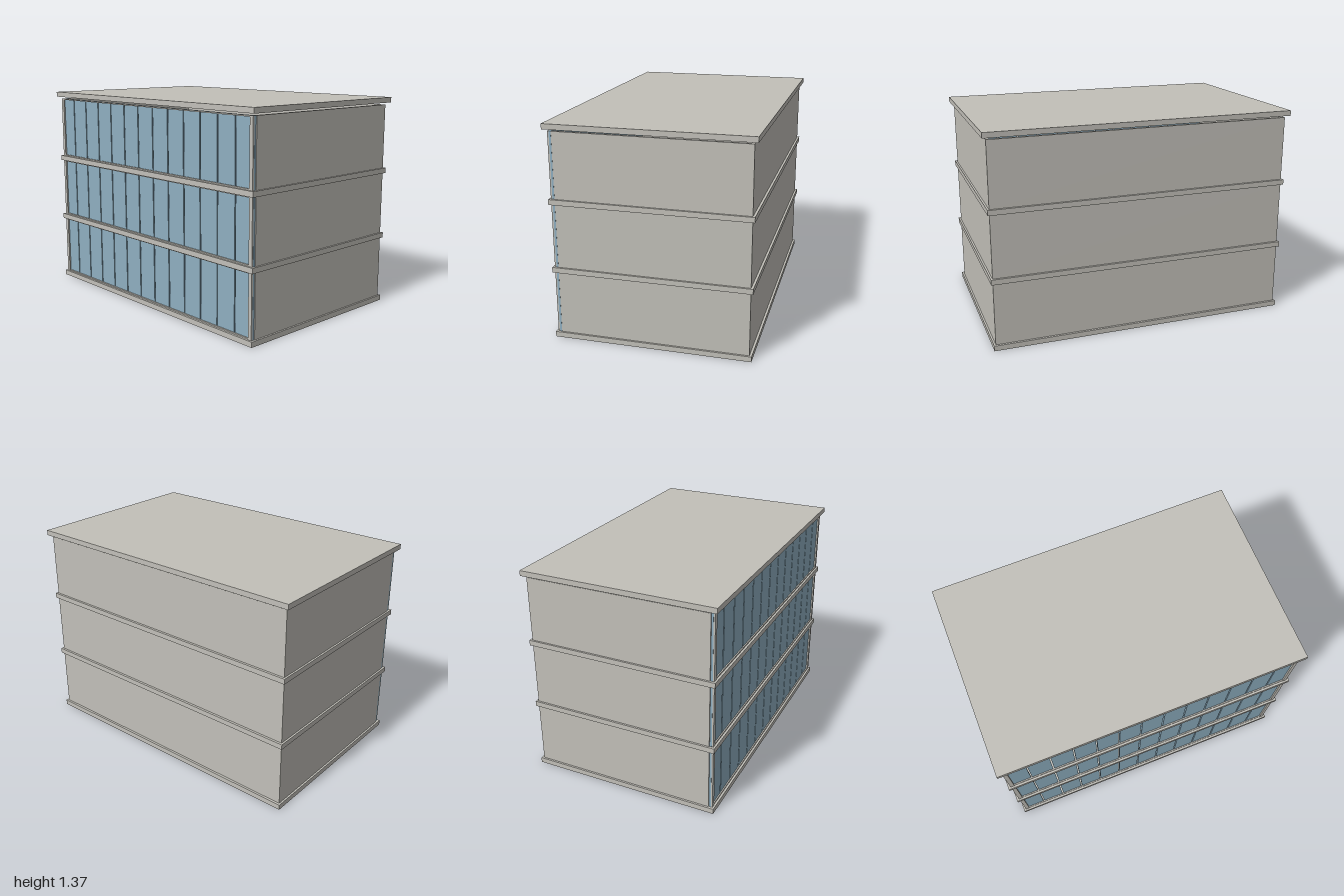
import * as THREE from 'three';

export function createModel() {
  const model = new THREE.Group();
  model.name = 'building';
  const concrete = new THREE.MeshStandardMaterial({ color: 0xc2c0b9 });
  concrete.name = 'pale concrete';
  const glass = new THREE.MeshStandardMaterial({ color: 0x8fafc1 });
  glass.name = 'blue glass';

  // Box given by its minimum and maximum corners
  function block(parent, name, material, [x0, y0, z0], [x1, y1, z1]) {
    const mesh = new THREE.Mesh(new THREE.BoxGeometry(x1 - x0, y1 - y0, z1 - z0), material);
    mesh.position.set((x0 + x1) / 2, (y0 + y1) / 2, (z0 + z1) / 2);
    mesh.name = name;
    parent.add(mesh);
    return mesh;
  }

  const storeys = 3, rise = 0.438, slab = 0.034;
  const halfW = 0.975, halfD = 0.61, wall = 0.02;
  const panels = 13, pitch = 2 * halfW / panels, gap = 0.008;

  for (let i = 0; i < storeys; i++) {
    const storey = new THREE.Group();
    storey.name = 'storey' + (i + 1);
    model.add(storey);
    const base = i * rise;
    const y0 = base + slab;
    const y1 = i === storeys - 1 ? 1.326 : base + rise;

    // Floor slab projecting past the walls
    block(storey, 'floorSlab', concrete, [-0.987, base, -0.625], [0.987, y0, 0.625]);

    // Back and side walls
    block(storey, 'backWall', concrete, [-halfW, y0, -halfD], [halfW, y1, -halfD + wall]);
    for (const s of [-1, 1]) {
      const xs = [s * halfW, s * (halfW - wall)].sort((a, b) => a - b);
      block(storey, 'sideWall', concrete, [xs[0], y0, -halfD + wall], [xs[1], y1, 0.588]);
    }

    // Row of glass panes with narrow joints
    for (let p = 0; p < panels; p++) {
      const x = -halfW + p * pitch;
      const left = p === 0 ? x + 0.003 : x + gap / 2;
      const right = p === panels - 1 ? x + pitch - 0.003 : x + pitch - gap / 2;
      block(storey, 'glassPane', glass, [left, y0, 0.59], [right, y1, 0.603]);
    }

    // Slim frame in front of the glass
    for (const s of [-1, 1]) {
      const xs = [s * 0.945, s * 0.971].sort((a, b) => a - b);
      block(storey, 'cornerPost', concrete, [xs[0], y0, 0.603], [xs[1], y1, 0.613]);
    }
    block(storey, 'bottomRail', concrete, [-0.945, y0, 0.603], [0.945, y0 + 0.008, 0.611]);
    block(storey, 'topRail', concrete, [-0.945, y1 - 0.008, 0.603], [0.945, y1, 0.611]);
  }

  // Roof slab, raised a little above the walls
  block(model, 'roof', concrete, [-1, 1.34, -0.636], [1, 1.374, 0.636]);

  return model;
}
